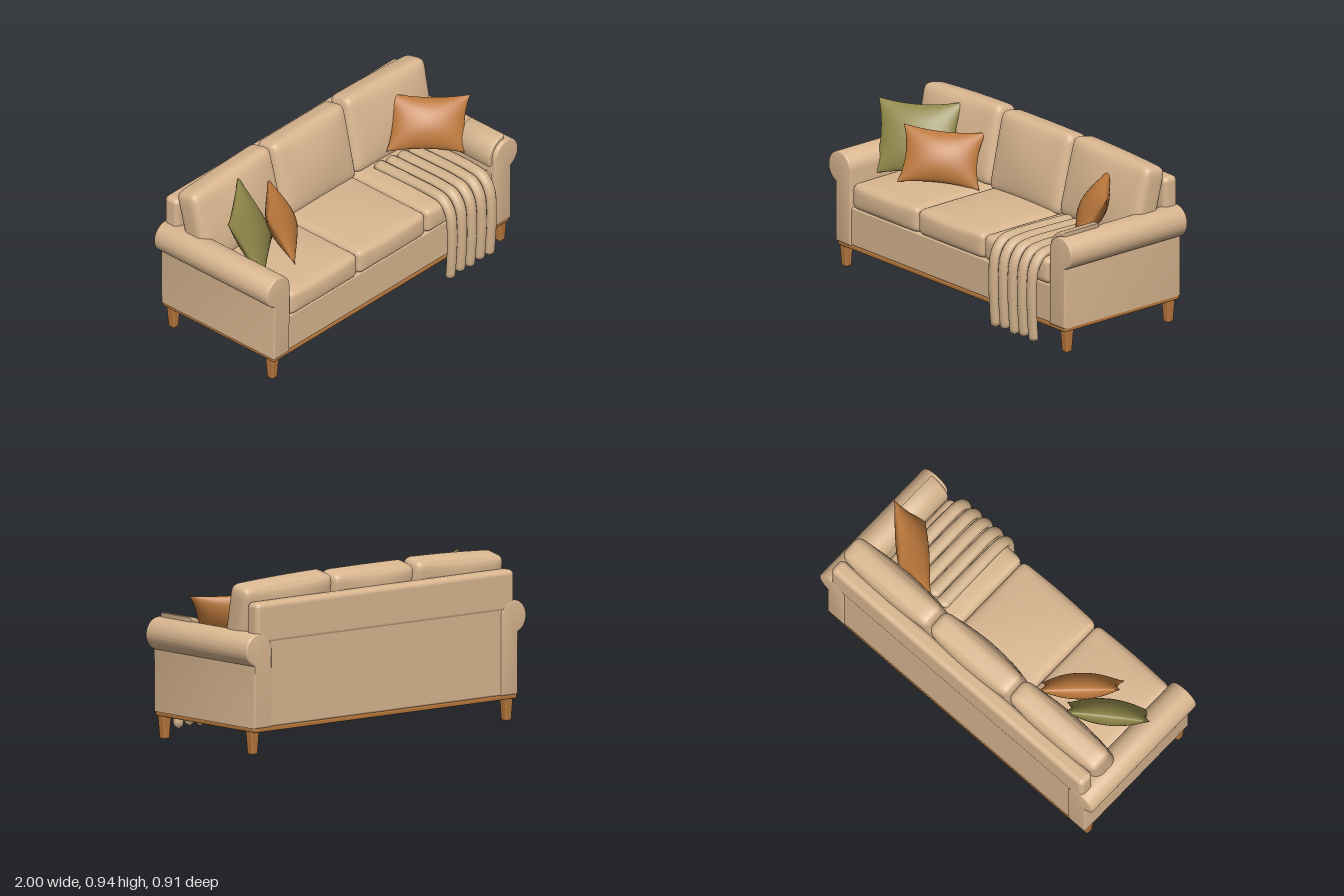
import * as THREE from 'three';
import { mergeVertices, toCreasedNormals } from 'three/addons/utils/BufferGeometryUtils.js';
import { RoundedBoxGeometry } from 'three/addons/geometries/RoundedBoxGeometry.js';

const paint = (name, color) => {
  const m = new THREE.MeshStandardMaterial({ color });
  m.name = name;
  return m;
};

// Weld a geometry and give it smooth normals
function smooth(geo) {
  geo.deleteAttribute('uv');
  geo.deleteAttribute('normal');
  const welded = mergeVertices(geo, 1e-5);
  welded.computeVertexNormals();
  return welded;
}

// Move every vertex by a rule
function reshape(geo, rule) {
  const pos = geo.attributes.position;
  const p = new THREE.Vector3();
  for (let i = 0; i < pos.count; i++) {
    rule(p.fromBufferAttribute(pos, i), i);
    pos.setXYZ(i, p.x, p.y, p.z);
  }
  return smooth(geo);
}

const ease = (u) => Math.sin(u * Math.PI / 2);

// Stuffed cushion: rounded box with bulging top and front/back faces
function cushion(w, h, d, r, puffY, puffZ) {
  const half = new THREE.Vector3(w / 2, h / 2, d / 2);
  const inner = half.clone().subScalar(r);
  const core = new THREE.Vector3();
  return reshape(new THREE.BoxGeometry(2, 2, 2, 18, 14, 14), (p) => {
    p.set(ease(p.x), ease(p.y), ease(p.z));
    const { x: u, y: v, z: t } = p;
    p.multiply(half);
    core.copy(p).clamp(inner.clone().negate(), inner);
    p.sub(core).setLength(r).add(core);
    p.y += puffY * v * (1 - u * u) * (1 - t * t);
    p.z += puffZ * t * (1 - u * u) * (1 - v * v);
  });
}

// Throw pillow: pinched edges, pointed corners, thick middle
function pillow(w, h, thick) {
  return reshape(new THREE.BoxGeometry(2, 2, 2, 20, 20, 1), (p) => {
    const u = ease(p.x), v = ease(p.y);
    const full = Math.pow(Math.max(0, (1 - u * u) * (1 - v * v)), 0.6);
    p.set(
      w / 2 * u * (1 - 0.13 * (1 - v * v)),
      h / 2 * v * (1 - 0.13 * (1 - u * u)),
      Math.sign(p.z) * thick / 2 * full
    );
  });
}

// Soft blanket fold running over the seat and down the front
function fold(startZ, endY) {
  const path = new THREE.CatmullRomCurve3([
    [startZ, 0.525], [0.1, 0.53], [0.28, 0.53], [0.365, 0.515],
    [0.415, 0.45], [0.43, 0.3], [0.425, 0.15], [0.415, endY],
  ].map(([z, y]) => new THREE.Vector3(0, y, z)));
  const steps = 48, sides = 12;
  const geo = new THREE.TubeGeometry(path, steps, 0.025, sides, false);
  const ends = [path.getPoint(0), path.getPoint(1)];
  return reshape(geo, (p, i) => {
    const ring = Math.floor(i / (sides + 1));
    if (ring === 0) p.copy(ends[0]);
    else if (ring === steps) p.copy(ends[1]);
    else p.x *= 1.55 - 0.35 * ring / steps;
  });
}

export function createModel() {
  const model = new THREE.Group();
  model.name = 'sofa';
  const fabric = paint('beige fabric', 0xd9b690);
  const blanket = paint('blanket beige', 0xd2b28c);
  const wood = paint('warm wood', 0xb8783c);
  const rust = paint('rust orange', 0xbb783c);
  const olive = paint('olive green', 0x8f8648);

  const add = (name, geo, mat, x = 0, y = 0, z = 0) => {
    const mesh = new THREE.Mesh(geo, mat);
    mesh.name = name;
    mesh.position.set(x, y, z);
    model.add(mesh);
    return mesh;
  };

  // Wooden plinth and tapered legs
  add('plinth', new RoundedBoxGeometry(1.87, 0.026, 0.82, 2, 0.008), wood, 0, 0.137, -0.04);
  const legGeo = new RoundedBoxGeometry(0.058, 0.13, 0.058, 3, 0.012);
  const legPos = legGeo.attributes.position;
  for (let i = 0; i < legPos.count; i++) {
    const s = 0.86 + 2.1 * legPos.getY(i);
    legPos.setX(i, legPos.getX(i) * s);
    legPos.setZ(i, legPos.getZ(i) * s);
  }
  legGeo.computeVertexNormals();
  for (const x of [-0.905, 0.905])
    for (const z of [0.33, -0.395]) add('leg', legGeo, wood, x, 0.065, z);

  // Seat base and back frame
  add('seatBase', new RoundedBoxGeometry(1.66, 0.217, 0.81, 2, 0.01), fabric, 0, 0.256, -0.037);
  add('backPanel', new RoundedBoxGeometry(1.67, 0.64, 0.09, 2, 0.012), fabric, 0, 0.468, -0.405);
  add('backTop', new RoundedBoxGeometry(1.84, 0.23, 0.095, 4, 0.03), fabric, 0, 0.715, -0.4065);

  // Rolled arms
  const armShape = new THREE.Shape();
  armShape.moveTo(0.818, 0.147);
  armShape.lineTo(0.94, 0.147);
  armShape.absarc(0.908, 0.573, 0.091, -1.2, Math.PI, false);
  armShape.closePath();
  const armGeo = toCreasedNormals(new THREE.ExtrudeGeometry(armShape, {
    depth: 0.815, curveSegments: 28, bevelSize: 0.01, bevelThickness: 0.01,
    bevelOffset: -0.01, bevelSegments: 3,
  }).translate(0, 0, -0.4075), 0.6);
  add('leftArm', armGeo, fabric, 0, 0, -0.0375);
  add('rightArm', armGeo, fabric, 0, 0, -0.0375).rotation.y = Math.PI;

  // Seat and back cushions
  const seatGeo = cushion(0.538, 0.148, 0.63, 0.035, 0.022, 0.012);
  const sideGeo = cushion(0.63, 0.45, 0.15, 0.045, 0.008, 0.03);
  const midGeo = cushion(0.575, 0.455, 0.15, 0.045, 0.004, 0.035);
  for (const i of [-1, 0, 1]) {
    add('seatCushion', seatGeo, fabric, i * 0.541, 0.436, 0.065);
    const back = add('backCushion', i ? sideGeo : midGeo, fabric, i * 0.604, 0.7, -0.255);
    back.rotation.set(-0.22, 0, -i * 0.04);
  }

  // Throw pillows: size, place, then yaw, lean and roll
  const pillows = [
    ['olivePillow', 0.47, 0.42, olive, [-0.71, 0.705, -0.01], [-0.48, 0.62, 0.02]],
    ['rightRustPillow', 0.45, 0.32, rust, [-0.488, 0.66, 0.012], [-0.5, 0.77, -0.08]],
    ['leftRustPillow', 0.45, 0.32, rust, [0.716, 0.69, -0.02], [-0.55, -0.72, -0.08]],
  ];
  for (const [name, w, h, mat, at, [lean, yaw, roll]] of pillows)
    add(name, pillow(w, h, 0.14), mat, ...at).rotation.set(lean, yaw, roll, 'YXZ');

  // Blanket folds over the seat
  for (let i = 0; i < 5; i++)
    add('blanketFold', fold(-0.13 + 0.012 * i, 0.025 + 0.008 * (i % 2)), blanket, 0.418 + 0.078 * i);

  // Blanket end draped over the arm
  const drape = new THREE.Shape();
  drape.absarc(0.908, 0.573, 0.115, 1.5, Math.PI + 0.4, false);
  drape.absarc(0.908, 0.573, 0.085, Math.PI + 0.4, 1.5, true);
  drape.closePath();
  const drapeGeo = toCreasedNormals(new THREE.ExtrudeGeometry(drape, {
    depth: 0.23, curveSegments: 20, bevelSize: 0.01, bevelThickness: 0.01,
    bevelOffset: -0.01, bevelSegments: 3,
  }), 0.6);
  add('blanketArmDrape', drapeGeo, blanket, 0, 0, 0.115);

  return model;
}
